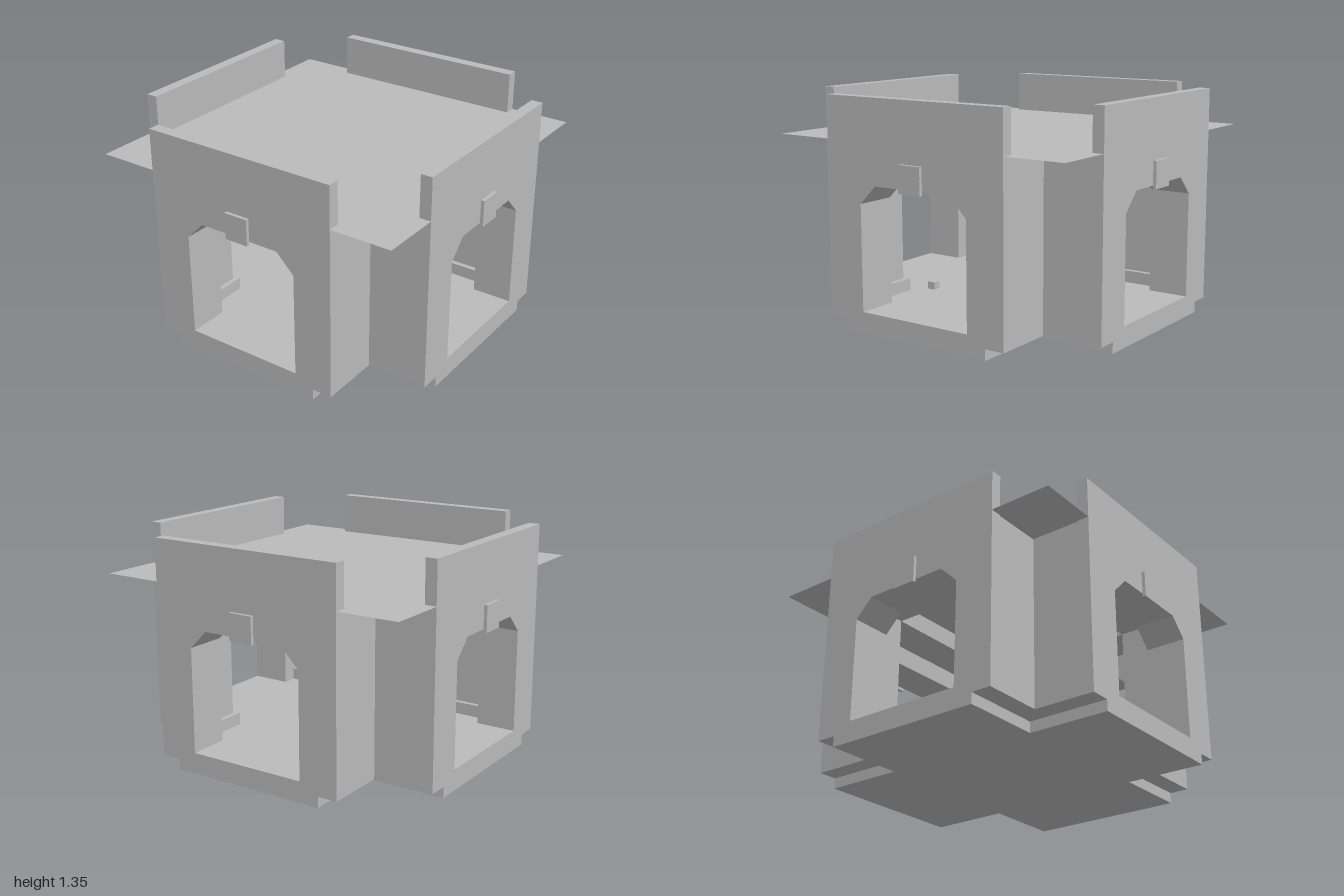
import * as THREE from 'three';

const stone = new THREE.MeshStandardMaterial({ color: 0xbbbbbb });
stone.name = 'grey stone';
const sheet = new THREE.MeshStandardMaterial({ color: 0xbbbbbb, side: THREE.DoubleSide });
sheet.name = 'grey roof sheet';

const OUT = 0.98, WALL = 0.61, ARM = 0.49, BACK = 0.735, ROOF = 1.1;
const vectors = (points) => points.map(([x, y]) => new THREE.Vector2(x, y));

function add(parent, name, geometry, x = 0, y = 0, z = 0, material = stone) {
  const mesh = new THREE.Mesh(geometry, material);
  mesh.name = name;
  mesh.position.set(x, y, z);
  parent.add(mesh);
  return mesh;
}

function block(parent, name, [x0, x1], [y0, y1], [z0, z1]) {
  return add(parent, name, new THREE.BoxGeometry(x1 - x0, y1 - y0, z1 - z0),
    (x0 + x1) / 2, (y0 + y1) / 2, (z0 + z1) / 2);
}

function prism(points, depth, hole) {
  const shape = new THREE.Shape(vectors(points));
  if (hole) shape.holes.push(new THREE.Path(vectors(hole)));
  return new THREE.ExtrudeGeometry(shape, { depth, bevelEnabled: false });
}

// Plan outline raised upwards from the ground
const raised = (points, height) => prism(points, height).rotateX(-Math.PI / 2);

// Chamfered doorway
const doorway = [[-0.37, 0.125], [-0.37, 0.75], [-0.26, 0.86], [0.26, 0.86], [0.37, 0.75], [0.37, 0.125]];

// Wall outline with its foot stepped in at both ends
const wallOutline = (top) => [
  [-ARM, 0], [ARM, 0], [ARM, 0.065], [WALL, 0.065], [WALL, top],
  [-WALL, top], [-WALL, 0.065], [-ARM, 0.065],
];

// L-shaped plan of a corner between two arms
const cornerPlan = (inner, outer, end) => [
  [inner, inner], [end, inner], [end, outer], [outer, outer], [outer, end], [inner, end],
];

function createSide() {
  const side = new THREE.Group();
  side.name = 'side';

  // Front panel rises above the roof as a parapet, with a thicker backing below
  add(side, 'wallAndParapet', prism(wallOutline(1.35), 0.07, doorway), 0, 0, 0.91);
  add(side, 'wallBacking', prism(wallOutline(1.095), 0.91 - BACK, doorway), 0, 0, BACK);
  block(side, 'keystone', [-0.075, 0.075], [0.84, 1.0], [OUT, 1.0]);

  // Lowered ceiling of the arm
  block(side, 'armCeiling', [-ARM, ARM], [0.98, 1.095], [ARM, BACK]);

  // Recessed corner wall and its inside plinth
  add(side, 'cornerWall', raised(cornerPlan(ARM, WALL, BACK), 1.03), 0, 0.065, 0);
  add(side, 'cornerPlinth', raised(cornerPlan(ARM - 0.03, ARM + 0.02, BACK), 0.075), 0, 0.125, 0);
  return side;
}

export function createModel() {
  const model = new THREE.Group();
  model.name = 'crossingRoom';

  // Cross-shaped floor
  add(model, 'floor', raised([
    [-ARM, -BACK], [ARM, -BACK], [ARM, -ARM], [BACK, -ARM], [BACK, ARM], [ARM, ARM],
    [ARM, BACK], [-ARM, BACK], [-ARM, ARM], [-BACK, ARM], [-BACK, -ARM], [-ARM, -ARM],
  ], 0.125));

  // Four equal sides
  for (let i = 0; i < 4; i++) {
    const side = createSide();
    side.rotation.y = i * Math.PI / 2;
    model.add(side);
  }

  // Thin roof sheet overhanging the notched corners
  add(model, 'roof', new THREE.PlaneGeometry(2 * OUT, 2 * OUT).rotateX(-Math.PI / 2), 0, ROOF, 0, sheet);

  // Floor grate
  for (let i = 0; i < 5; i++) {
    const x = -0.12 + i * 0.06;
    block(model, 'grateBar', [x - 0.02, x + 0.02], [0.125, 0.131], [-0.15, 0.15]);
  }

  // Small block on the floor
  block(model, 'floorBlock', [-0.385, -0.335], [0.13, 0.175], [0.335, 0.385]);
  return model;
}
